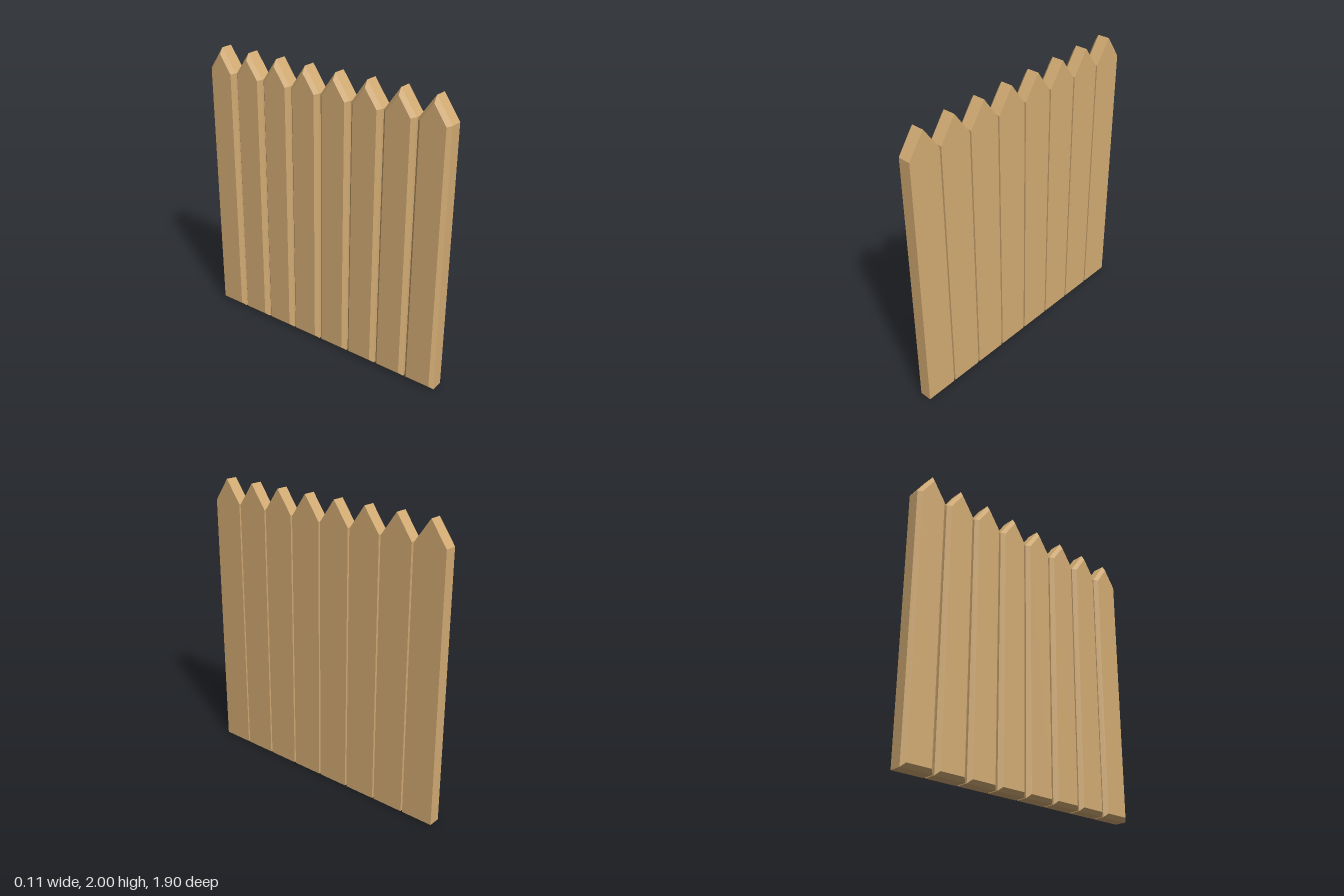
import * as THREE from 'three';

const COUNT = 8, PITCH = 0.2385, HALF = 0.113, SHOULDER = 1.84, PEAK = 2, BEVEL = 0.025;

// Pointed board outline [u, y], counter-clockwise, inset by d on every edge
function outline(d) {
  const slope = (PEAK - SHOULDER) / HALF;
  const drop = d * Math.sqrt(1 + slope * slope);
  const w = HALF - d;
  const shoulder = SHOULDER + d * slope - drop;
  return [[-w, d], [w, d], [w, shoulder], [0, PEAK - drop], [-w, shoulder]];
}

// Board lofted along x, chamfered on its -x face only
function picketGeometry() {
  const rings = [[-0.055, BEVEL], [-0.03, 0], [0.055, 0]].map(([x, d]) =>
    outline(d).map(([u, y]) => [x, y, -u]));
  const pos = [];
  const tri = (a, b, c) => pos.push(...a, ...b, ...c);
  const n = rings[0].length;
  for (let r = 0; r < 2; r++) {
    const a = rings[r], b = rings[r + 1];
    for (let i = 0; i < n; i++) {
      const j = (i + 1) % n;
      tri(a[i], a[j], b[j]);
      tri(a[i], b[j], b[i]);
    }
  }
  // flat faces
  const back = rings[0], front = rings[2];
  for (let i = 1; i < n - 1; i++) {
    tri(front[0], front[i], front[i + 1]);
    tri(back[0], back[i + 1], back[i]);
  }
  const g = new THREE.BufferGeometry();
  g.setAttribute('position', new THREE.Float32BufferAttribute(pos, 3));
  g.computeVertexNormals();
  return g;
}

export function createModel() {
  const group = new THREE.Group();
  group.name = 'picketFence';
  const wood = new THREE.MeshStandardMaterial({ color: 0xd3ac74 });
  const geometry = picketGeometry();
  // row of pickets along z
  for (let i = 0; i < COUNT; i++) {
    const picket = new THREE.Mesh(geometry, wood);
    picket.name = `picket${i + 1}`;
    picket.position.z = (i - (COUNT - 1) / 2) * PITCH;
    group.add(picket);
  }
  return group;
}
